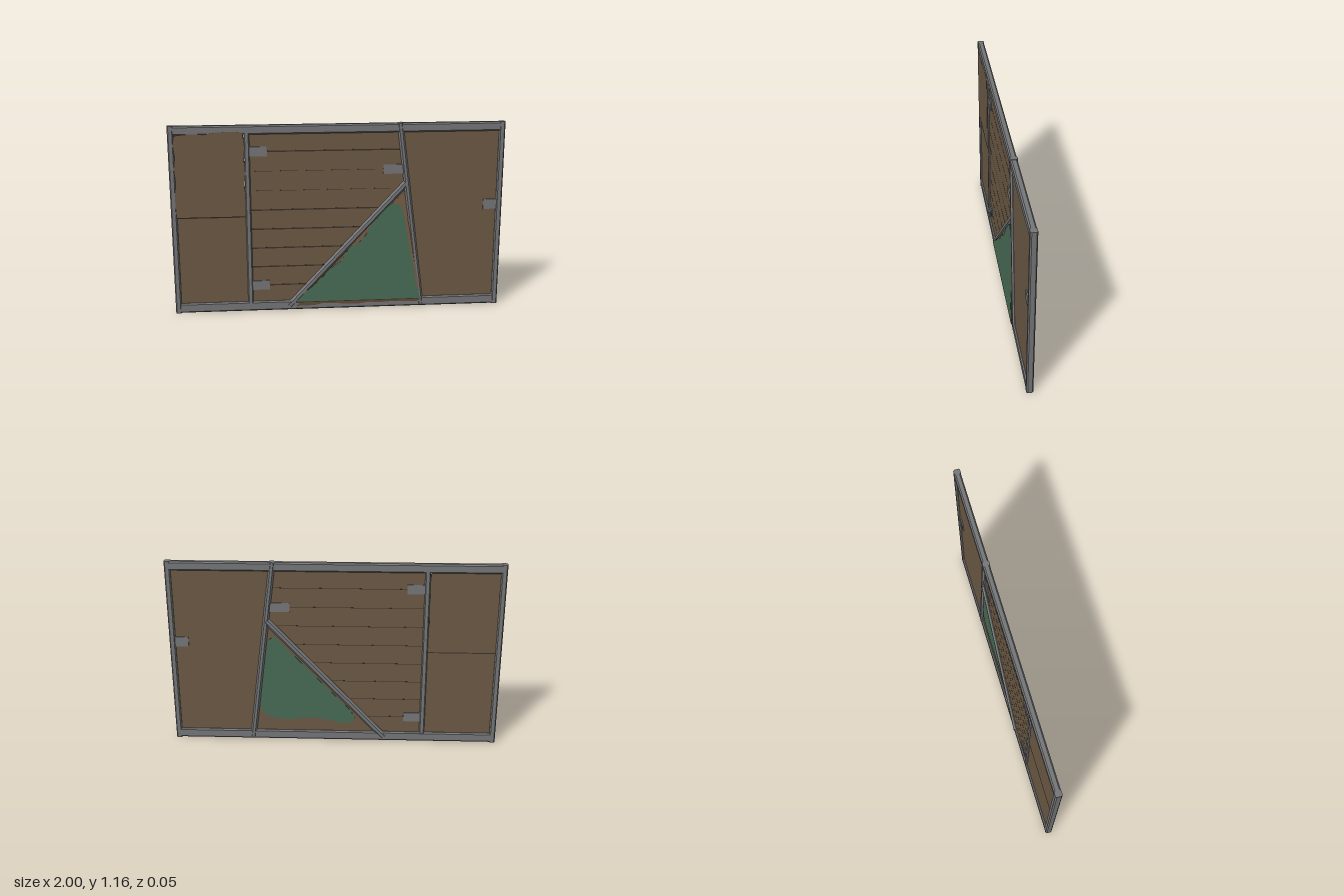
import * as THREE from 'three';

const material = (name, color, side = THREE.FrontSide) => {
  const m = new THREE.MeshStandardMaterial({ color, side });
  m.name = name;
  return m;
};

export function createModel() {
  const group = new THREE.Group();
  const metal = material('grey metal', 0x767779);
  const wood = material('brown board', 0x6c5a45);
  const groove = material('dark groove', 0x3c3227);
  const green = material('green paint', 0x486b55, THREE.DoubleSide);
  const rust = material('rusty edge', 0x775c45, THREE.DoubleSide);

  const add = (name, geometry, mat) => {
    const mesh = new THREE.Mesh(geometry, mat);
    mesh.name = name;
    group.add(mesh);
    return mesh;
  };
  const box = (name, x0, x1, y0, y1, z0, z1, mat) =>
    add(name, new THREE.BoxGeometry(x1 - x0, y1 - y0, z1 - z0), mat)
      .position.set((x0 + x1) / 2, (y0 + y1) / 2, (z0 + z1) / 2);
  const shapeOf = (points) => new THREE.Shape(points.map(([x, y]) => new THREE.Vector2(x, y)));

  // Bar with chamfered edges running from a to b in the panel plane
  const bar = (name, a, b, width, z0, z1, c) => {
    const w = width / 2, d = (z1 - z0) / 2;
    const dx = b[0] - a[0], dy = b[1] - a[1], length = Math.hypot(dx, dy);
    const profile = shapeOf([[-w + c, -d], [w - c, -d], [w, -d + c], [w, d - c],
      [w - c, d], [-w + c, d], [-w, d - c], [-w, -d + c]]);
    const g = new THREE.ExtrudeGeometry(profile, { depth: length, bevelEnabled: false });
    g.rotateX(-Math.PI / 2);
    g.rotateZ(Math.atan2(-dx, dy));
    g.translate(a[0], a[1], (z0 + z1) / 2);
    return add(name, g, metal);
  };

  // Outer frame
  bar('topRail', [-0.99, 1.128], [0.99, 1.128], 0.055, -0.023, 0.016, 0.008);
  bar('bottomRail', [-0.99, 0.031], [0.99, 0.031], 0.06, -0.023, 0.016, 0.008);
  for (const s of [-1, 1])
    bar('sidePost', [s * 0.982, 0], [s * 0.982, 1.156], 0.036, -0.023, 0.017, 0.007);

  // Inner post and slanted braces
  bar('innerPost', [-0.542, 0.03], [-0.542, 1.12], 0.032, -0.022, 0.016, 0.006);
  bar('slantedPost', [0.365, 1.156], [0.512, 0.015], 0.036, -0.025, 0.018, 0.01);
  bar('diagonalBrace', [-0.305, 0.025], [0.408, 0.79], 0.042, -0.027, 0.018, 0.012);

  // Boards filling the frame
  box('mainBoard', -0.54, 0.975, 0.04, 1.115, -0.012, 0.006, wood);
  box('lowerSideBoard', -0.975, -0.54, 0.04, 0.6, -0.012, 0.006, wood);
  box('sideBoardSeam', -0.967, -0.558, 0.597, 0.604, -0.013, 0.007, groove);

  // Upper side sheet with a torn edge
  const sheet = shapeOf([[-0.968, 0.604], [-0.556, 0.604], [-0.556, 0.74], [-0.562, 0.8],
    [-0.553, 0.87], [-0.56, 0.95], [-0.555, 1.03], [-0.562, 1.09], [-0.57, 1.115],
    [-0.64, 1.12], [-0.72, 1.116], [-0.79, 1.105], [-0.88, 1.108], [-0.962, 1.1],
    [-0.971, 1.05], [-0.962, 0.97], [-0.971, 0.9], [-0.963, 0.83], [-0.972, 0.72]]);
  const sheetGeometry = new THREE.ExtrudeGeometry(sheet, { depth: 0.032, bevelEnabled: false });
  sheetGeometry.translate(0, 0, -0.015);
  add('upperSideSheet', sheetGeometry, wood);

  // Plank grooves, ending at the diagonal brace or the slanted post
  for (let i = 0; i < 8; i++) {
    const y = 0.165 + i * 0.119;
    const end = y < 0.77 ? -0.305 + (y - 0.025) * 0.932 : 0.365 + (1.156 - y) * 0.129;
    const h = i === 5 || i === 6 ? 0.001 : 0.004;
    box('plankGrooveFront', -0.53, end, y - h, y + h, 0.005, 0.0065, groove);
    box('plankGrooveBack', -0.53, end, y - 0.0015, y + 0.0015, -0.0125, -0.011, groove);
  }

  // Hinge and latch plates, showing on both sides
  const plates = [[-0.53, -0.425, 0.97, 1.028], [-0.53, -0.425, 0.137, 0.195],
    [0.268, 0.39, 0.85, 0.906], [0.885, 0.97, 0.618, 0.68]];
  for (const [x0, x1, y0, y1] of plates)
    box('hingePlate', x0, x1, y0, y1, -0.019, 0.013, metal);

  // Thin sheet leaning outwards towards its lower edge
  const leaningSheet = (name, points, offset, mat) => {
    const g = new THREE.ExtrudeGeometry(shapeOf(points), { depth: 0.002, bevelEnabled: false });
    const p = g.attributes.position;
    for (let i = 0; i < p.count; i++)
      p.setZ(i, p.getZ(i) + 0.025 - offset - 0.027 * (p.getY(i) - 0.056));
    g.computeVertexNormals();
    return add(name, g, mat);
  };
  leaningSheet('flapBacking', [[-0.25, 0.058], [0.5, 0.058], [0.497, 0.13], [0.478, 0.25],
    [0.455, 0.4], [0.425, 0.55], [0.41, 0.7], [0.395, 0.735], [0.36, 0.7], [0.3, 0.645],
    [0.2, 0.545], [0.1, 0.435], [0, 0.32], [-0.12, 0.2]], 0.003, rust);
  leaningSheet('flapPaint', [[-0.267, 0.056], [0.505, 0.056], [0.497, 0.1], [0.473, 0.17],
    [0.468, 0.25], [0.445, 0.33], [0.43, 0.42], [0.41, 0.52], [0.398, 0.6], [0.38, 0.65],
    [0.33, 0.668], [0.27, 0.635], [0.235, 0.575], [0.2, 0.545], [0.165, 0.47], [0.12, 0.42],
    [0.06, 0.39], [0.02, 0.315], [-0.05, 0.265], [-0.13, 0.18], [-0.2, 0.125]], 0, green);

  // Dark lower lip and torn strip folding back under it
  box('flapLip', -0.265, 0.503, 0.051, 0.058, 0.013, 0.0265, groove);
  const strip = shapeOf([[-0.24, 0.052], [-0.265, 0.025], [-0.15, 0.027], [-0.1, 0.04],
    [-0.02, 0.037], [0.05, 0.03], [0.12, 0.028], [0.18, 0.038], [0.26, 0.032],
    [0.34, 0.04], [0.42, 0.036], [0.49, 0.033], [0.5, 0.052]]);
  const stripGeometry = new THREE.ShapeGeometry(strip);
  const sp = stripGeometry.attributes.position;
  for (let i = 0; i < sp.count; i++) sp.setZ(i, 0.017 + (sp.getY(i) - 0.025) * 0.3);
  stripGeometry.computeVertexNormals();
  add('flapTornStrip', stripGeometry, rust);

  // Paint patch on the back of the triangle
  const patch = shapeOf([[0.4, 0.67], [0.36, 0.69], [0.33, 0.655], [0.1, 0.41], [-0.1, 0.2],
    [-0.125, 0.15], [-0.1, 0.12], [-0.05, 0.115], [0.03, 0.135], [0.14, 0.15], [0.27, 0.137],
    [0.37, 0.138], [0.43, 0.165], [0.46, 0.21], [0.455, 0.32], [0.425, 0.55]]);
  const patchGeometry = new THREE.ExtrudeGeometry(patch, { depth: 0.003, bevelEnabled: false });
  patchGeometry.translate(0, 0, -0.014);
  add('backPaintPatch', patchGeometry, green);

  return group;
}
